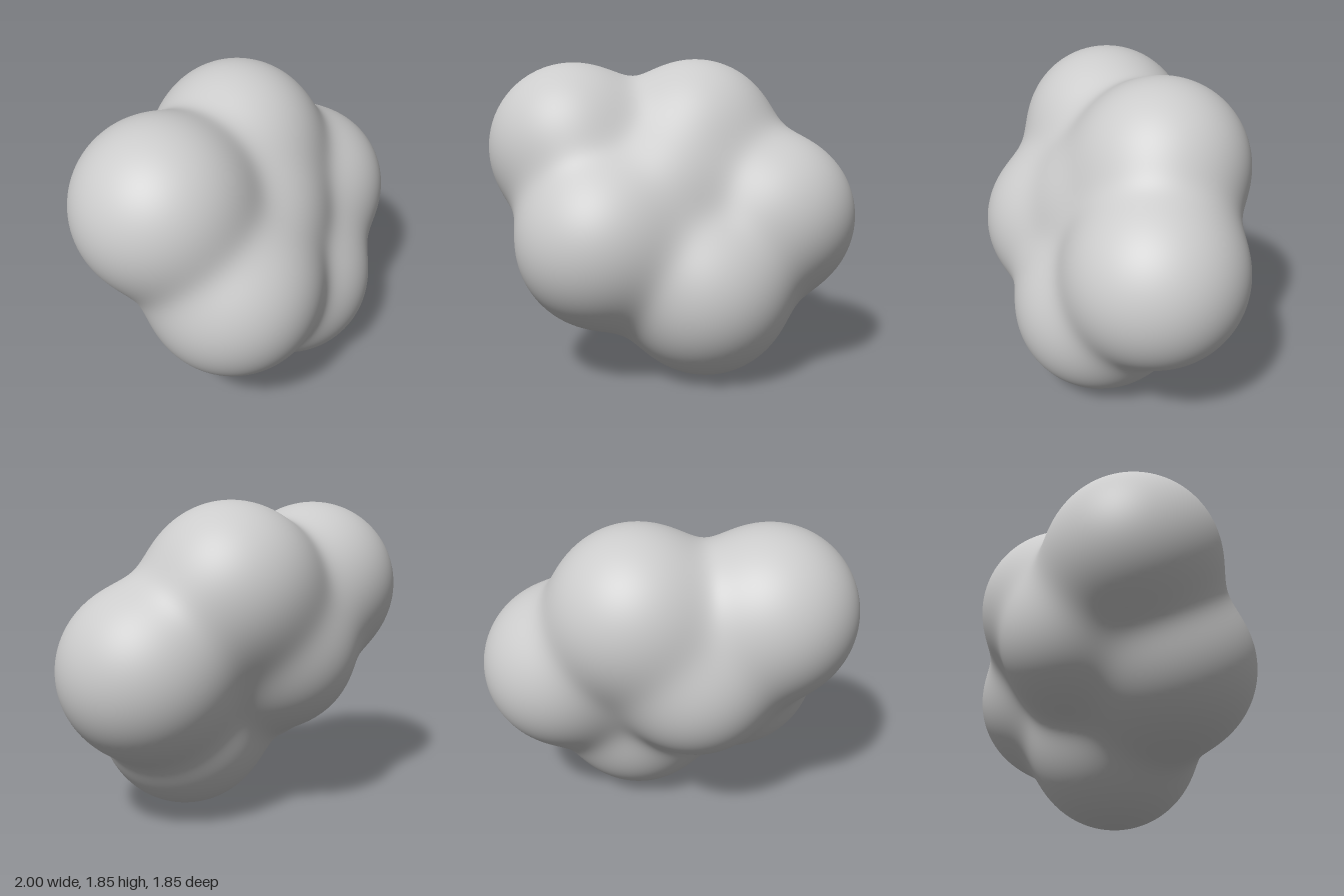
import * as THREE from 'three';

// Lobes of the blob: centre x, y, z and radius
const lobes = [
  [-0.49, 1.32, 0.28, 0.51], // upper right
  [0.02, 1.34, -0.27, 0.51], // top back
  [0.485, 0.91, -0.415, 0.51], // back left
  [0.30, 0.51, 0.00, 0.51], // bottom
  [-0.13, 0.80, 0.41, 0.51], // front
  [-0.26, 0.96, -0.08, 0.45], // rear bulge
  [0.04, 1.06, 0.04, 0.43], // core
];
const BLEND = 0.075;

// Smoothly blended distance to all lobes; also writes the surface normal
function field(p, normal) {
  let sum = 0;
  normal.set(0, 0, 0);
  for (const [x, y, z, r] of lobes) {
    const dx = p.x - x, dy = p.y - y, dz = p.z - z;
    const len = Math.hypot(dx, dy, dz) || 1e-6;
    const w = Math.exp((r - len) / BLEND);
    sum += w;
    normal.x += w * dx / len;
    normal.y += w * dy / len;
    normal.z += w * dz / len;
  }
  normal.normalize();
  return -BLEND * Math.log(sum);
}

export function createModel() {
  const group = new THREE.Group();
  group.name = 'blob';

  // Shrink a fine sphere inward until each vertex meets the blended lobes
  const geometry = new THREE.IcosahedronGeometry(1, 40);
  const pos = geometry.attributes.position;
  const nor = geometry.attributes.normal;
  const centre = new THREE.Vector3(-0.03, 0.99, 0);
  const dir = new THREE.Vector3(), p = new THREE.Vector3(), n = new THREE.Vector3();
  for (let i = 0; i < pos.count; i++) {
    dir.fromBufferAttribute(pos, i).normalize();
    let t = 1.5;
    for (let step = 0; step < 60; step++) {
      p.copy(centre).addScaledVector(dir, t);
      const d = field(p, n);
      if (Math.abs(d) < 1e-5) break;
      t -= d;
    }
    pos.setXYZ(i, p.x, Math.max(p.y, 0), p.z);
    nor.setXYZ(i, n.x, n.y, n.z);
  }

  const mesh = new THREE.Mesh(geometry, new THREE.MeshStandardMaterial({ color: 0xcccccc }));
  mesh.name = 'lobedSurface';
  group.add(mesh);
  return group;
}
